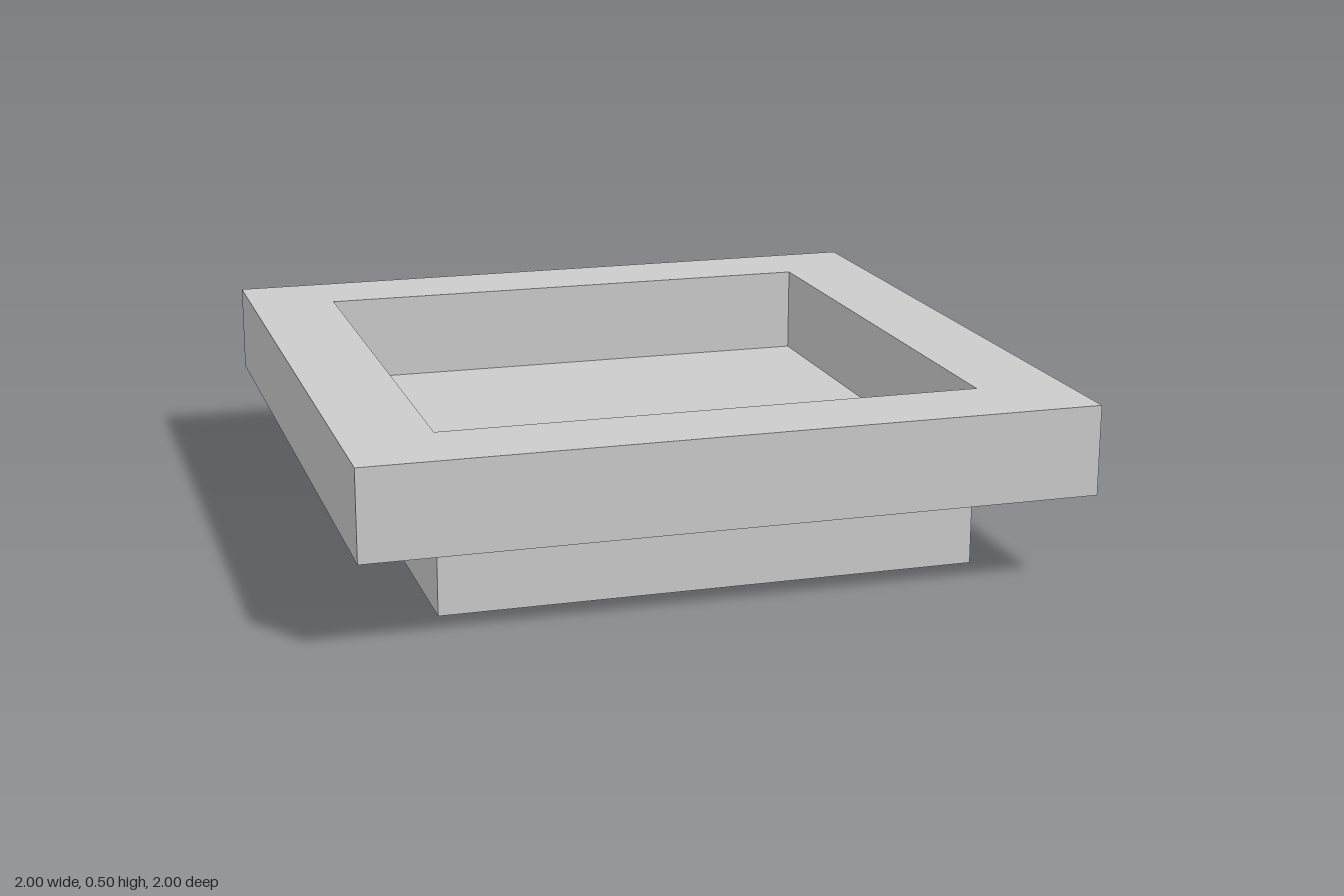
import * as THREE from 'three';

const OUTER = 2, INNER = 1.5, LAYER = 0.25;

// Traces a centred square on a Shape or Path
function square(path, size) {
  const h = size / 2;
  path.moveTo(-h, -h);
  path.lineTo(h, -h);
  path.lineTo(h, h);
  path.lineTo(-h, h);
  path.closePath();
  return path;
}

export function createModel() {
  const group = new THREE.Group();
  const material = new THREE.MeshStandardMaterial({ color: 0xcccccc, flatShading: true });

  // Square base, whose top is the floor of the recess
  const base = new THREE.Mesh(new THREE.BoxGeometry(INNER, LAYER, INNER), material);
  base.name = 'base';
  base.position.y = LAYER / 2;
  group.add(base);

  // Wide rim with a square opening, resting on the base
  const outline = square(new THREE.Shape(), OUTER);
  outline.holes.push(square(new THREE.Path(), INNER));
  const rimGeometry = new THREE.ExtrudeGeometry(outline, { depth: LAYER, bevelEnabled: false });
  rimGeometry.rotateX(-Math.PI / 2);
  const rim = new THREE.Mesh(rimGeometry, material);
  rim.name = 'rim';
  rim.position.y = LAYER;
  group.add(rim);

  return group;
}
